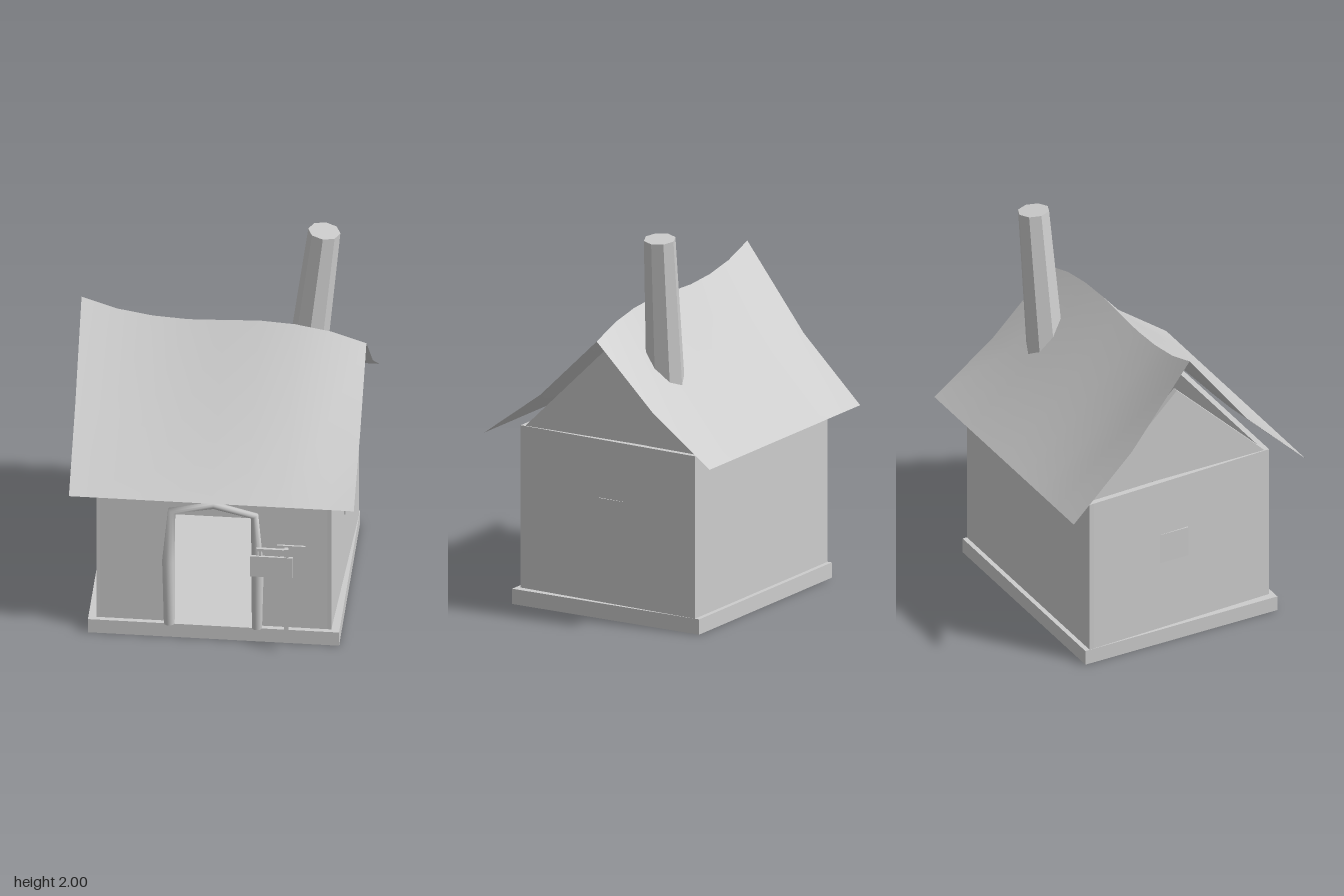
import * as THREE from 'three';

const grey = new THREE.MeshStandardMaterial({ color: 0xcccccc, side: THREE.DoubleSide });
grey.name = 'plain grey';

export function createModel() {
  const house = new THREE.Group();
  house.name = 'cottage';

  const add = (name, geometry, parent = house) => {
    const mesh = new THREE.Mesh(geometry, grey);
    mesh.name = name;
    parent.add(mesh);
    return mesh;
  };
  // Box given by its min and max on each axis
  const box = (name, x0, x1, y0, y1, z0, z1, parent) => {
    const mesh = add(name, new THREE.BoxGeometry(x1 - x0, y1 - y0, z1 - z0), parent);
    mesh.position.set((x0 + x1) / 2, (y0 + y1) / 2, (z0 + z1) / 2);
    return mesh;
  };
  const polygon = (points) => new THREE.Shape(points.map(([x, y]) => new THREE.Vector2(x, y)));
  const extrude = (shape, depth) => new THREE.ExtrudeGeometry(shape, { depth, bevelEnabled: false });

  // Base and back wall
  box('base', -0.637, 0.637, 0, 0.08, -0.555, 0.555);
  box('backWall', -0.635, 0.635, 0.08, 0.93, -0.53, -0.505);

  // Front wall with the doorway cut out
  const front = polygon([[-0.595, 0.08], [-0.2, 0.08], [-0.2, 0.73], [0.2, 0.73],
    [0.2, 0.08], [0.595, 0.08], [0.595, 0.93], [-0.595, 0.93]]);
  add('frontWall', extrude(front, 0.03)).position.z = 0.5;

  // Side walls splay outward to the back; each has a gable and a window
  for (const s of [-1, 1]) {
    const side = s < 0 ? 'right' : 'left';
    const wall = add(side + 'Wall', new THREE.BoxGeometry(0.03, 0.85, 1.036));
    wall.position.set(s * 0.6, 0.505, 0.0125);
    wall.rotation.y = -s * 0.0386;

    const gable = add(side + 'Gable', extrude(polygon([[-0.505, 0.93], [0.505, 0.93], [0, 1.425]]), 0.03));
    gable.rotation.y = Math.PI / 2;
    gable.position.x = s > 0 ? 0.56 : -0.59;

    const pane = box(side + 'Window', -0.008, 0.008, 0.46, 0.625, -0.115, 0.05);
    pane.position.x = s * 0.613;
  }
  box('frontWindow', 0.32, 0.465, 0.43, 0.58, 0.525, 0.54);

  // Roof: two sheets hanging from a wavy ridge, flaring to level eaves
  const ridge = [1.665, 1.605, 1.574, 1.563, 1.57, 1.578, 1.567, 1.535, 1.475];
  const eave = 0.9;
  for (const s of [1, -1]) {
    const sheet = new THREE.PlaneGeometry(1.445, 1, 8, 2);
    const p = sheet.attributes.position;
    for (let i = 0; i < p.count; i++) {
      const t = 0.5 - p.getY(i);
      const x = s * p.getX(i);
      const top = ridge[Math.round((x / 1.445 + 0.5) * 8)];
      const drop = 1 - t - 0.28 * t * (1 - t);
      p.setXYZ(i, x, eave + (top - eave) * drop, s * 0.67 * t);
    }
    sheet.computeVertexNormals();
    add(s > 0 ? 'frontRoof' : 'backRoof', sheet);
  }

  // Leaning eight-sided chimney
  const foot = new THREE.Vector3(0.375, 1.0, -0.203);
  const tip = new THREE.Vector3(0.487, 1.99, -0.228);
  const axis = tip.clone().sub(foot);
  const stack = new THREE.CylinderGeometry(0.082, 0.104, axis.length(), 8).toNonIndexed();
  stack.computeVertexNormals();
  const chimney = add('chimney', stack);
  chimney.position.copy(foot).add(tip).multiplyScalar(0.5);
  chimney.quaternion.setFromUnitVectors(new THREE.Vector3(0, 1, 0), axis.normalize());

  // Door frame: rough timber arch, rings of [x, y, radius]
  const path = [[-0.225, 0.08, 0.027], [-0.23, 0.46, 0.031], [-0.212, 0.765, 0.022],
    [0, 0.812, 0.02], [0.208, 0.76, 0.022], [0.224, 0.45, 0.031], [0.22, 0.08, 0.026]];
  const sides = 10, pos = [], index = [];
  path.forEach(([x, y, r], i) => {
    const a = path[Math.max(i - 1, 0)], b = path[Math.min(i + 1, path.length - 1)];
    const n = new THREE.Vector2(a[1] - b[1], b[0] - a[0]).normalize();
    for (let j = 0; j < sides; j++) {
      const w = j / sides * Math.PI * 2;
      pos.push(x + n.x * r * Math.cos(w), y + n.y * r * Math.cos(w), 0.552 + r * 0.85 * Math.sin(w));
      if (i > 0) {
        const k = (j + 1) % sides, c = i * sides, d = c - sides;
        index.push(d + j, c + j, d + k, c + j, c + k, d + k);
      }
    }
  });
  const arch = new THREE.BufferGeometry();
  arch.setAttribute('position', new THREE.Float32BufferAttribute(pos, 3));
  arch.setIndex(index);
  arch.computeVertexNormals();
  add('doorFrame', arch);

  // Shelves of jars along the back wall
  const shelves = new THREE.Group();
  shelves.name = 'shelves';
  house.add(shelves);
  const jar = new THREE.CylinderGeometry(0.017, 0.025, 0.05, 10);
  const lid = new THREE.CylinderGeometry(0.021, 0.021, 0.015, 10);
  for (const y of [0.27, 0.44, 0.61]) {
    box('shelf', -0.35, 0.35, y - 0.008, y + 0.004, -0.505, -0.38, shelves);
    for (let i = -3; i <= 3; i++) {
      add('jar', jar, shelves).position.set(i * 0.091, y + 0.029, -0.44);
      add('jarLid', lid, shelves).position.set(i * 0.091, y + 0.06, -0.44);
    }
  }

  // Hanging sign on its post
  const sign = new THREE.Group();
  sign.name = 'sign';
  house.add(sign);
  box('signPost', 0.366, 0.388, 0.088, 0.625, 0.622, 0.642, sign);
  box('signArm', 0.225, 0.366, 0.605, 0.62, 0.625, 0.64, sign);
  box('signBoard', 0.195, 0.41, 0.455, 0.577, 0.634, 0.646, sign);
  for (const x of [0.245, 0.34]) box('signHanger', x - 0.005, x + 0.005, 0.57, 0.61, 0.63, 0.638, sign);

  return house;
}
